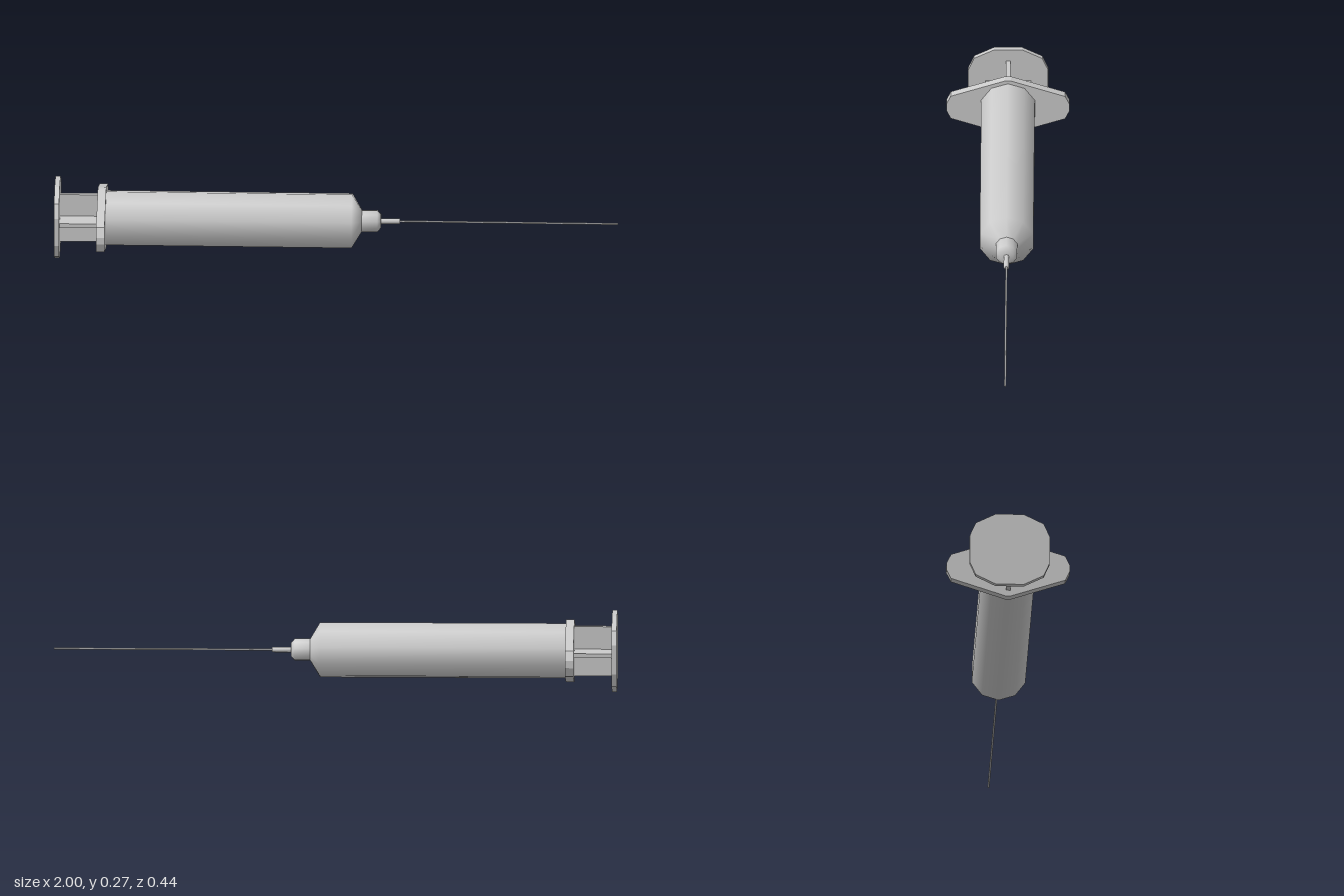
import * as THREE from 'three';

const AXIS_Y = 0.137;

export function createModel() {
  const group = new THREE.Group();
  const mat = new THREE.MeshStandardMaterial({ color: 0xcccccc });

  const add = (name, geometry, x = 0) => {
    const mesh = new THREE.Mesh(geometry, mat);
    mesh.name = name;
    mesh.position.set(x, AXIS_Y, 0);
    group.add(mesh);
  };

  // Turned part along x from [x, radius] pairs
  const turned = (name, profile, sides = 10) => {
    const points = profile.map(([x, r]) => new THREE.Vector2(r, x));
    const geo = new THREE.LatheGeometry(points, sides, Math.PI / 2);
    add(name, geo.rotateZ(-Math.PI / 2));
  };

  // Flat plate across the axis, mirrored from one quarter outline of [z, y] corners
  const plate = (name, quarter, x, thickness) => {
    const back = [...quarter].reverse();
    const outline = [
      ...quarter,
      ...back.map(([z, y]) => [z, -y]),
      ...quarter.map(([z, y]) => [-z, -y]),
      ...back.map(([z, y]) => [-z, y]),
    ].map(([z, y]) => new THREE.Vector2(z, y));
    const geo = new THREE.ExtrudeGeometry(new THREE.Shape(outline), { depth: thickness, bevelEnabled: false });
    add(name, geo.rotateY(Math.PI / 2), x);
  };

  // Plunger: thumb rest and cross-shaped rod
  plate('thumbRest', [[0.05, 0.137], [0.121, 0.101], [0.142, 0.052]], -1, 0.018);
  add('plungerRibVertical', new THREE.BoxGeometry(0.16, 0.18, 0.016), -0.91);
  add('plungerRibHorizontal', new THREE.BoxGeometry(0.16, 0.016, 0.16), -0.91);

  // Finger flange
  plate('fingerFlange', [[0.01, 0.112], [0.203, 0.047], [0.219, 0.013]], -0.848, 0.03);

  // Barrel with tapered shoulder, hub and needle
  turned('barrel', [[-0.82, 0.1], [0.055, 0.1], [0.09, 0.04]]);
  turned('hub', [[0.088, 0.04], [0.145, 0.04], [0.158, 0.025], [0.158, 0]]);
  turned('needleSleeve', [[0.155, 0.01], [0.225, 0.01], [0.225, 0]]);
  turned('needle', [[0.22, 0.0035], [1, 0.0035], [1, 0]], 8);

  return group;
}
